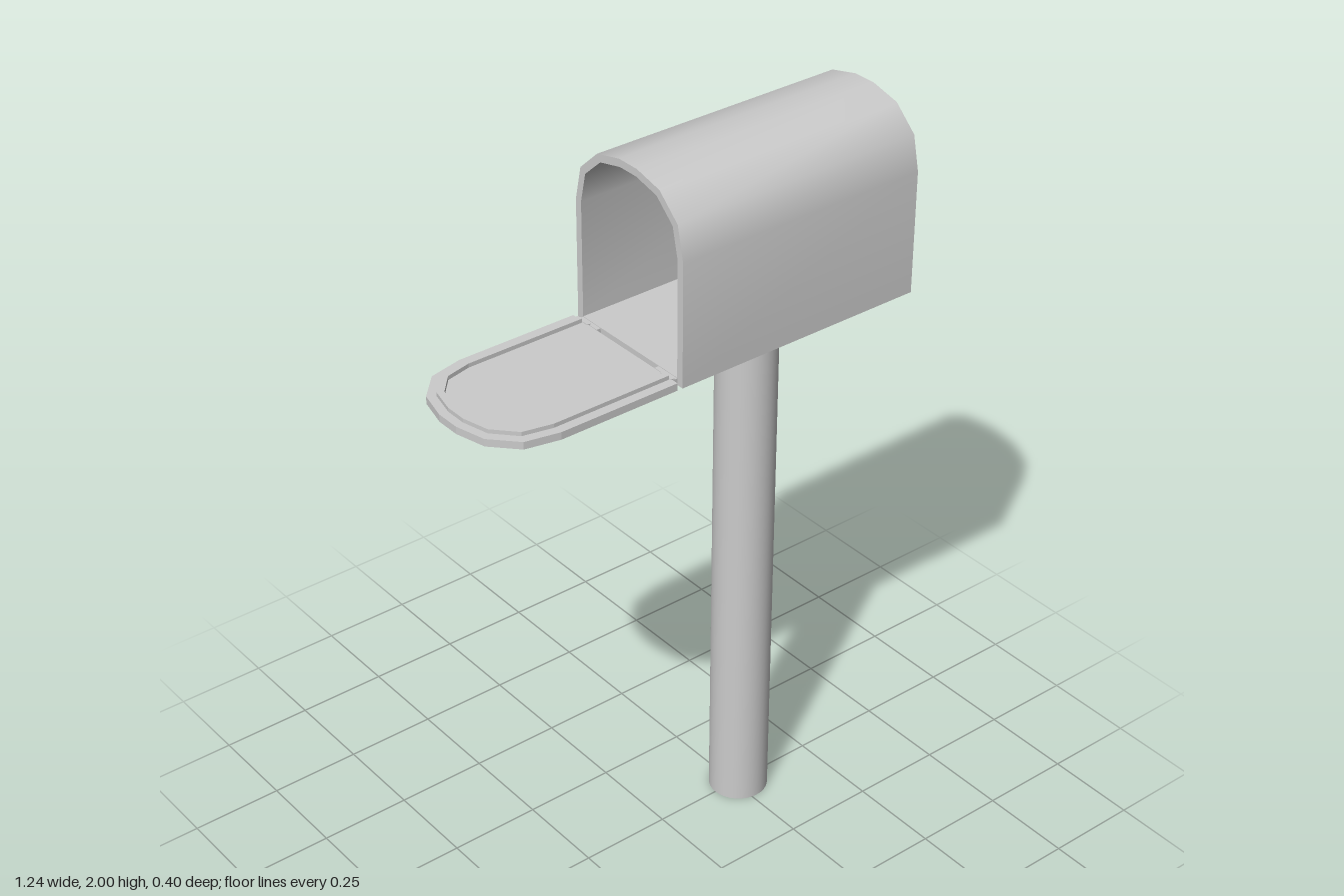
import * as THREE from 'three';
import { toCreasedNormals } from 'three/addons/utils/BufferGeometryUtils.js';

// Half of the arched profile: half-width, height
const HALF = [[0.2, 0], [0.2, 0.33], [0.18, 0.42], [0.115, 0.48], [0.033, 0.5]];

// Full arch, pulled in by an inset, with its base at the given height
function arch(inset, base) {
  const k = (0.2 - inset) / 0.2;
  const right = HALF.map(([s, h], i) =>
    new THREE.Vector2(s * k, i === 0 ? base : i === 1 ? h : 0.33 + (h - 0.33) * (0.17 - inset) / 0.17));
  const left = right.map(p => new THREE.Vector2(-p.x, p.y)).reverse();
  return [...right, ...left];
}

// Extrude a profile along +x
function extrudeX(shape, depth) {
  return new THREE.ExtrudeGeometry(shape, { depth, bevelEnabled: false }).rotateY(Math.PI / 2);
}

export function createModel() {
  const group = new THREE.Group();
  const material = new THREE.MeshStandardMaterial({ color: 0xcccccc });
  const add = (name, geometry, x, y, z, parent = group) => {
    const mesh = new THREE.Mesh(geometry, material);
    mesh.name = name;
    mesh.position.set(x, y, z);
    parent.add(mesh);
    return mesh;
  };

  // Post
  add('post', new THREE.CylinderGeometry(0.08, 0.08, 1.5, 32), 0.265, 0.75, 0);

  // Hollow box, open at the -x end, with a solid end wall
  const shell = new THREE.Shape(arch(0, 0));
  shell.holes.push(new THREE.Path(arch(0.02, 0.02)));
  add('boxShell', toCreasedNormals(extrudeX(shell, 0.72), 0.7), -0.1, 1.5, 0);
  add('endWall', extrudeX(new THREE.Shape(arch(0.02, 0.02)), 0.02), 0.6, 1.5, 0);

  // Door, lying open, with a raised U-shaped rim
  const door = new THREE.Group();
  door.name = 'door';
  door.position.set(-0.115, 1.5, 0);
  group.add(door);
  const layFlat = (shape, depth) => extrudeX(shape, depth).rotateZ(Math.PI / 2);
  add('doorPanel', layFlat(new THREE.Shape(arch(0, 0)), 0.02), 0, 0, 0, door).scale.x = 1.014;
  const rim = new THREE.Shape([...arch(0.025, 0.005), ...arch(0.042, 0.005).reverse()]);
  add('doorRim', layFlat(rim, 0.012), 0, 0.019, 0, door).scale.x = 1.02;

  // Hinges bridging the gap between door and box
  for (const side of [-1, 1]) {
    add('hingeArm', new THREE.BoxGeometry(0.012, 0.015, 0.07), -0.106, 1.511, side * 0.146);
    add('hingeLeaf', new THREE.BoxGeometry(0.01, 0.015, 0.04), -0.113, 1.514, side * 0.16);
  }
  return group;
}
